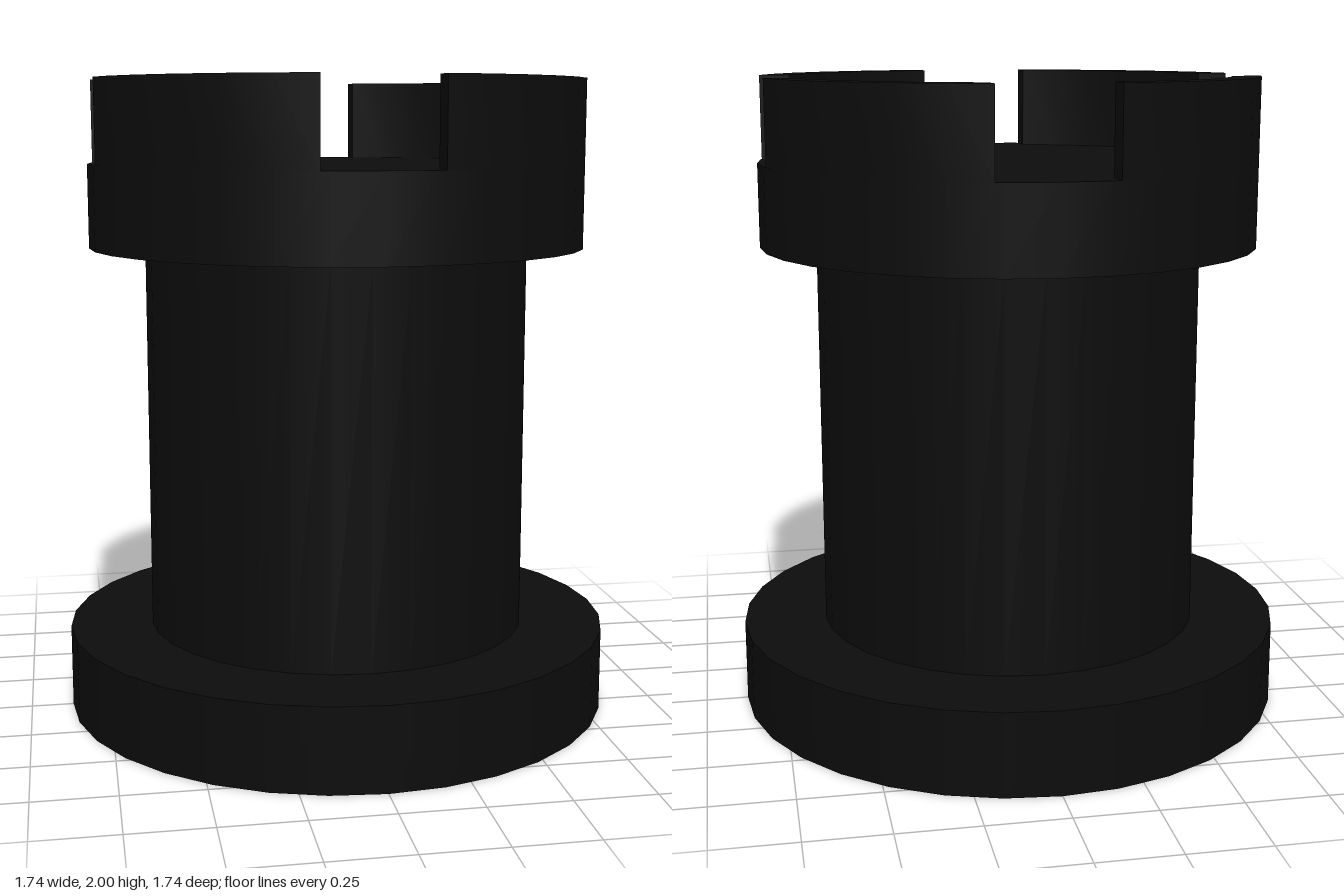
import * as THREE from 'three';
import { toCreasedNormals } from 'three/addons/utils/BufferGeometryUtils.js';

const SEGMENTS = 32;
const STEP = (Math.PI * 2) / SEGMENTS;
const material = new THREE.MeshStandardMaterial({ color: 0x0c0c0c });

// Upright drum standing between two heights
function drum(name, radius, bottom, top) {
  const mesh = new THREE.Mesh(new THREE.CylinderGeometry(radius, radius, top - bottom, SEGMENTS), material);
  mesh.name = name;
  mesh.position.y = (bottom + top) / 2;
  return mesh;
}

// Points along a quarter arc, trimmed by gaps with parallel walls
function trimmedArc(radius, halfGap) {
  const start = Math.asin(halfGap / radius);
  const end = Math.PI / 2 - start;
  const angles = [start];
  for (let a = STEP; a < end; a += STEP) if (a > start) angles.push(a);
  angles.push(end);
  return angles.map((a) => new THREE.Vector2(radius * Math.cos(a), radius * Math.sin(a)));
}

export function createModel() {
  const model = new THREE.Group();
  model.name = 'castleTower';

  // Foot, shaft and wide collar
  model.add(
    drum('base', 0.868, 0, 0.262),
    drum('shaft', 0.606, 0.262, 1.48),
    drum('collar', 0.78, 1.48, 1.74)
  );

  // Four curved battlements around the rim
  const outline = [...trimmedArc(0.78, 0.175), ...trimmedArc(0.69, 0.175).reverse()];
  const extruded = new THREE.ExtrudeGeometry(new THREE.Shape(outline), { depth: 0.26, bevelEnabled: false });
  extruded.rotateX(-Math.PI / 2);
  const geometry = toCreasedNormals(extruded, Math.PI / 6);
  const battlements = new THREE.Group();
  battlements.name = 'battlements';
  for (let i = 0; i < 4; i++) {
    const merlon = new THREE.Mesh(geometry, material);
    merlon.name = 'merlon';
    merlon.position.y = 1.74;
    merlon.rotation.y = (i * Math.PI) / 2;
    battlements.add(merlon);
  }
  model.add(battlements);

  return model;
}
